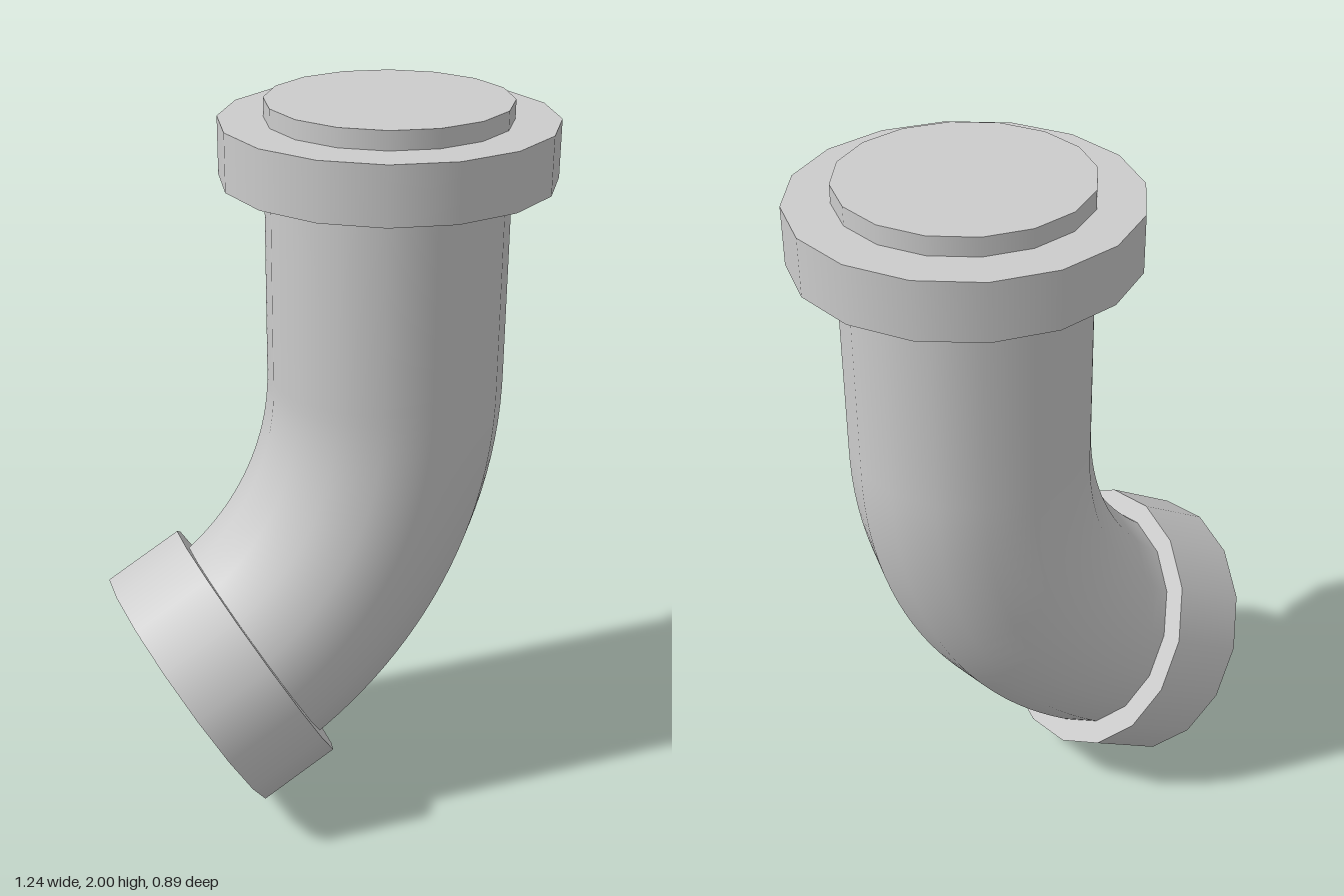
import * as THREE from 'three';

const SIDES = 16;
const PIPE_X = 0.173, PIPE_R = 0.326;
const BEND_Y = 1.23, BEND_R = 0.95, BEND_ANGLE = THREE.MathUtils.degToRad(61.2);
const LEAD = 2 - BEND_Y, ARC = BEND_R * BEND_ANGLE, TAIL = 0.125;

// Centre line: straight down, round the bend, then a short straight tail
class PipePath extends THREE.Curve {
  getPoint(t, target = new THREE.Vector3()) {
    const s = t * (LEAD + ARC + TAIL);
    if (s < LEAD) return target.set(PIPE_X, 2 - s, 0);
    const a = Math.min((s - LEAD) / BEND_R, BEND_ANGLE);
    const rest = Math.max(0, s - LEAD - ARC);
    return target.set(
      PIPE_X - BEND_R * (1 - Math.cos(a)) - rest * Math.sin(a),
      BEND_Y - BEND_R * Math.sin(a) - rest * Math.cos(a),
      0
    );
  }
}

export function createModel() {
  const model = new THREE.Group();
  const metal = new THREE.MeshStandardMaterial({ color: 0xcccccc });
  metal.name = 'grey metal';

  const add = (name, geometry, parent = model) => {
    const mesh = new THREE.Mesh(geometry, metal);
    mesh.name = name;
    parent.add(mesh);
    return mesh;
  };

  // Bent pipe with closed ends
  const pipe = new THREE.Group();
  pipe.name = 'pipe';
  model.add(pipe);
  const path = new PipePath();
  add('pipeWall', new THREE.TubeGeometry(path, 48, PIPE_R, SIDES, false), pipe);
  const forward = new THREE.Vector3(0, 0, 1);
  const endDisc = (name, t, direction) => {
    const disc = add(name, new THREE.CircleGeometry(PIPE_R, SIDES), pipe);
    disc.position.copy(path.getPoint(t));
    disc.quaternion.setFromUnitVectors(forward, direction);
  };
  endDisc('topEnd', 0, new THREE.Vector3(0, 1, 0));
  endDisc('lowerEnd', 1, new THREE.Vector3(-Math.sin(BEND_ANGLE), -Math.cos(BEND_ANGLE), 0));

  // Wide flange near the top
  const flange = add('topFlange', new THREE.CylinderGeometry(0.447, 0.447, 0.155, SIDES));
  flange.position.set(PIPE_X, 1.8725, 0);
  flange.rotation.y = Math.PI / 2;

  // Collar around the lower end, tilted with the bend
  const length = 0.237, tilt = Math.PI / 3;
  const collar = add('lowerCollar', new THREE.CylinderGeometry(0.39, 0.39, length, SIDES));
  collar.position.set(-0.425 + Math.sin(tilt) * length / 2, 0.338 + Math.cos(tilt) * length / 2, 0);
  collar.rotation.z = -tilt;

  return model;
}
